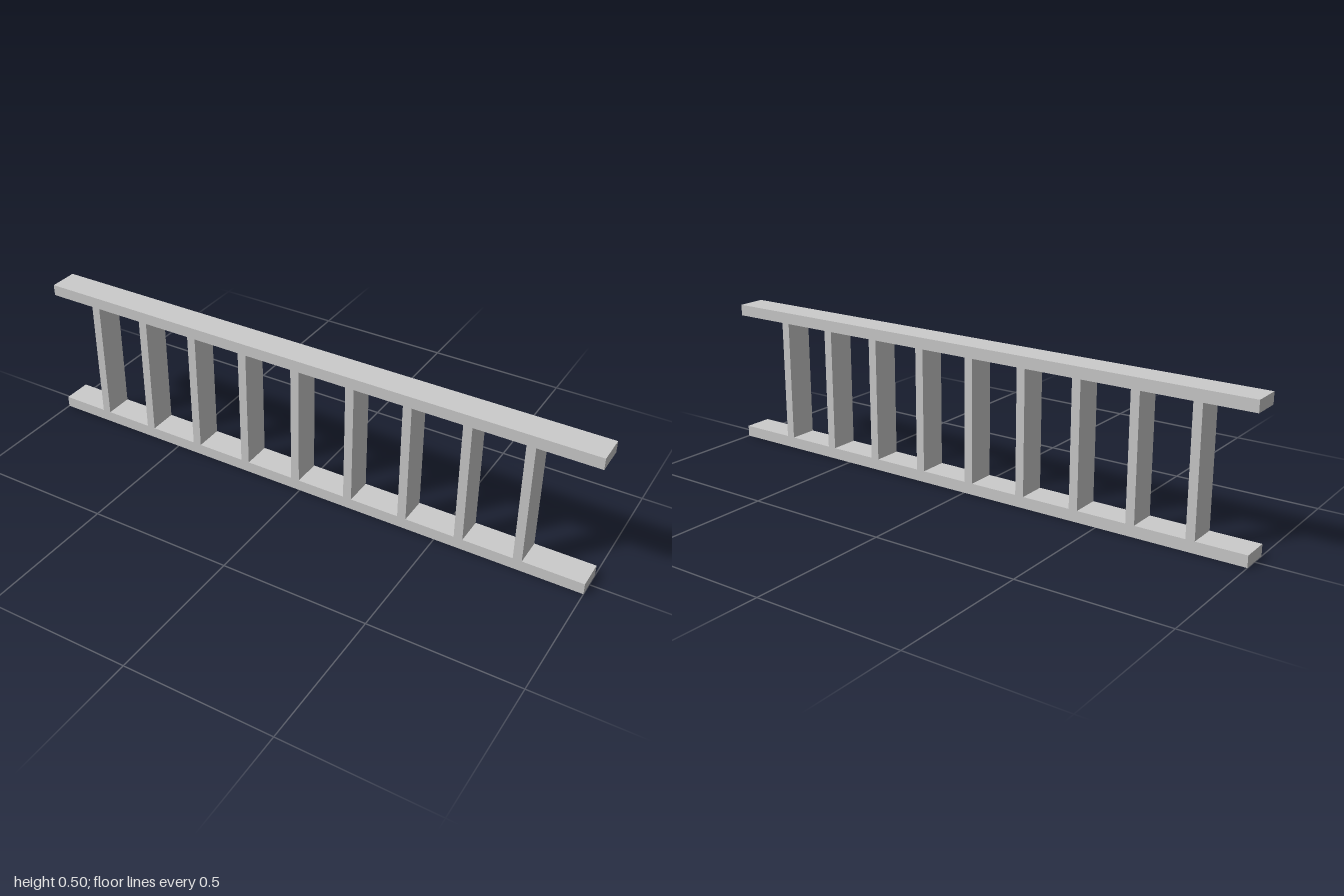
import * as THREE from 'three';

const HEIGHT = 0.502, DEPTH = 0.1, RAIL = 0.039;

export function createModel() {
  const model = new THREE.Group();
  model.name = 'ladder';
  const material = new THREE.MeshStandardMaterial({ color: 0xcccccc, flatShading: true });

  const addBox = (name, width, height, x, y) => {
    const mesh = new THREE.Mesh(new THREE.BoxGeometry(width, height, DEPTH), material);
    mesh.name = name;
    mesh.position.set(x, y, 0);
    model.add(mesh);
  };

  // Long side rails
  addBox('bottomRail', 2, RAIL, 0, RAIL / 2);
  addBox('topRail', 2, RAIL, 0, HEIGHT - RAIL / 2);

  // Nine evenly spaced rungs, set slightly off centre
  for (let i = 0; i < 9; i++) {
    addBox(`rung${i + 1}`, 0.03, HEIGHT - 2 * RAIL, -0.818 + 0.2 * i, HEIGHT / 2);
  }

  return model;
}
